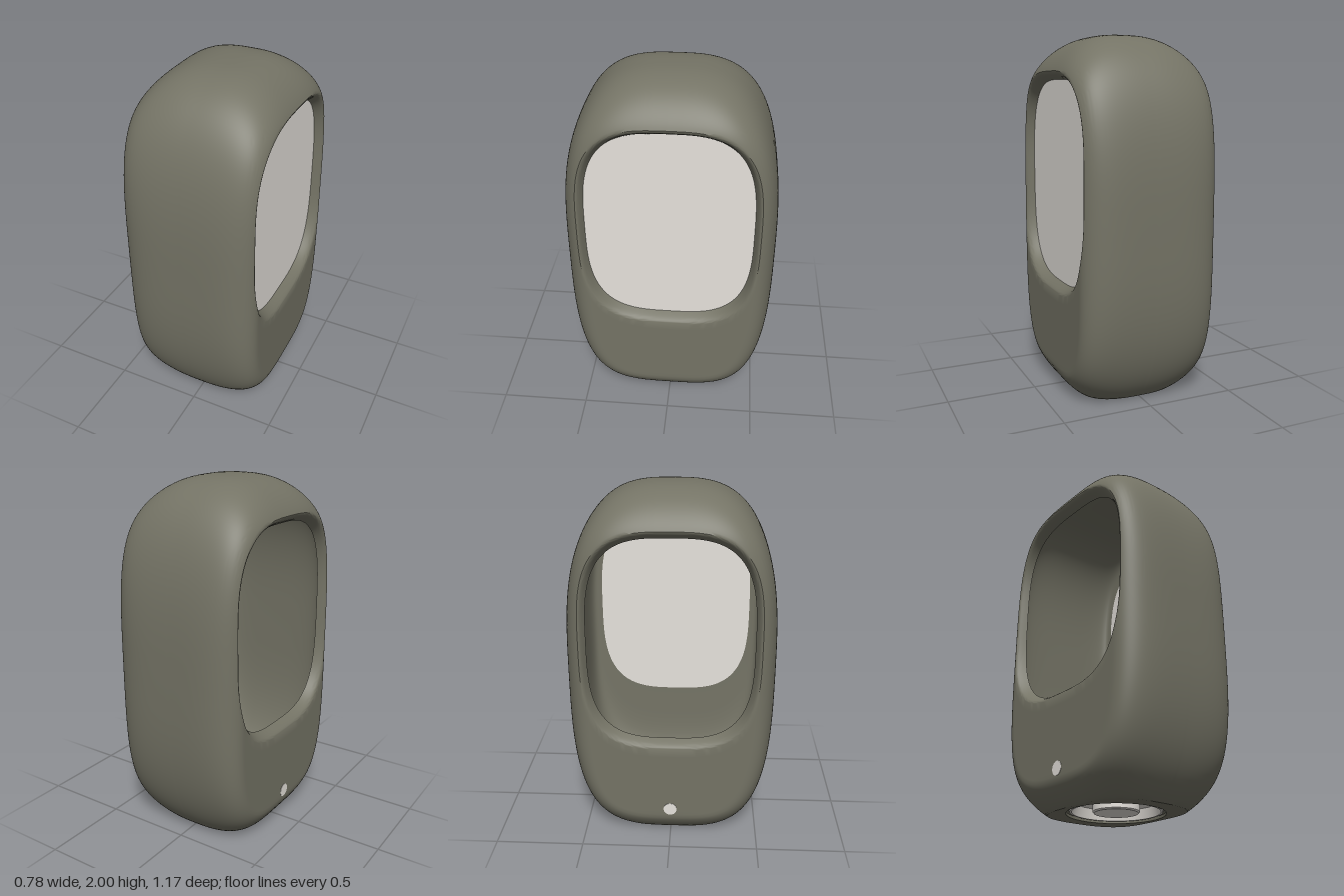
import * as THREE from 'three';
import { toCreasedNormals } from 'three/addons/utils/BufferGeometryUtils.js';

const HALF = 0.39;      // half width of the body
const MID = 0.957;      // height of the body outline's centre
const TALL = 1.043;     // half height of the body outline, cut flat at y = 0
const POWER = 2.95;     // squareness of the body outline
const WALL = 0.33;      // x where the rounded rim meets the opening
const SEG = 128;

// Point [z, y] on a rounded-square outline
function outline(angle, cy, hz, hy, power) {
  const c = Math.cos(angle), s = Math.sin(angle);
  const p = (v) => Math.sign(v) * Math.abs(v) ** (2 / power);
  return [hz * p(c), cy + hy * p(s)];
}
const bodyEdge = (a) => outline(a, MID, 0.585, TALL, POWER);
const rimEdge = (a) => outline(a, 1.187, 0.49, 0.615, 3.2);
const panelEdge = (a) => outline(a, 1.187, 0.455, 0.57, 3.2);
const cavityEdge = (a) => outline(a, 1.01, 0.53, 0.92, 3.2);

// Half width of the pillowed body at a point of its side outline
function surfaceX(z, y) {
  let lo = 0, hi = HALF;
  for (let i = 0; i < 40; i++) {
    const x = (lo + hi) / 2, s = x / HALF;
    const hy = TALL - 0.21 * (1 - (1 - s ** 2.7) ** 0.8);
    const hz = 0.585 - 0.14 * (1 - Math.sqrt(1 - s ** 4));
    const n = POWER + s ** 4; // squarer towards the flat sides
    const f = (Math.abs(y - MID) / hy) ** n + (Math.abs(z) / hz) ** n;
    if (f < 1) lo = x; else hi = x;
  }
  return lo;
}

// Triangles between closed rings of points, mirrored when side is -1
function skin(rings, side) {
  const pos = [], idx = [];
  for (const ring of rings) for (const [x, y, z] of ring) pos.push(x * side, Math.max(y, 0), z);
  const add = (a, b, c) => {
    // the flat underside is a separate plate
    if ([a, b, c].every((i) => pos[i * 3 + 1] === 0)) return;
    if (side > 0) idx.push(a, b, c); else idx.push(a, c, b);
  };
  for (let i = 0; i < rings.length - 1; i++) {
    for (let j = 0; j < SEG; j++) {
      const k = (j + 1) % SEG, o = i * SEG, n = o + SEG;
      add(o + j, n + j, o + k);
      add(o + k, n + j, n + k);
    }
  }
  const g = new THREE.BufferGeometry();
  g.setAttribute('position', new THREE.Float32BufferAttribute(pos, 3));
  g.setIndex(idx);
  return toCreasedNormals(g, 0.6);
}

const makeRing = (fn) => Array.from({ length: SEG }, (_, j) => fn((j / SEG) * Math.PI * 2));
const mix = (p, q, t) => [p[0] + (q[0] - p[0]) * t, p[1] + (q[1] - p[1]) * t];

export function createModel() {
  const model = new THREE.Group();
  model.name = 'device';
  const shell = new THREE.MeshStandardMaterial({ color: 0x747365, side: THREE.DoubleSide });
  shell.name = 'olive grey shell';
  const pale = new THREE.MeshStandardMaterial({ color: 0xe6e2dc, side: THREE.DoubleSide });
  pale.name = 'pale grey';
  const add = (name, geometry, material) => {
    const mesh = new THREE.Mesh(geometry, material);
    mesh.name = name;
    model.add(mesh);
    return mesh;
  };

  // Outer shell from the middle seam to the opening's rim, then the rounded rim
  const shellRings = [];
  for (let i = 0; i <= 40; i++) {
    const t = (i / 40) ** 3;
    shellRings.push(makeRing((a) => {
      const [z, y] = mix(bodyEdge(a), rimEdge(a), t);
      return [i === 0 ? 0 : surfaceX(z, y), y, z];
    }));
  }
  for (let i = 1; i <= 8; i++) {
    const k = i / 8;
    shellRings.push(makeRing((a) => {
      const rim = rimEdge(a), x = surfaceX(...rim);
      const [z, y] = mix(rim, panelEdge(a), k);
      return [x + (WALL - x) * (1 - Math.cos(k * Math.PI / 2)), y, z];
    }));
  }
  add('leftShell', skin(shellRings, 1), shell);
  add('rightShell', skin(shellRings, -1), shell);

  // Hollow inside, open on the right and closed by a flat pale panel on the left
  const cavityRings = [];
  for (let i = 0; i <= 24; i++) {
    const a = (i / 24) * Math.PI, c = Math.cos(a);
    const x = WALL * Math.sign(c) * Math.sqrt(Math.abs(c));
    const bulge = Math.sqrt(Math.abs(Math.sin(a)));
    cavityRings.push(makeRing((b) => {
      const [z, y] = mix(panelEdge(b), cavityEdge(b), bulge);
      return [x, y, z];
    }));
  }
  add('innerShell', skin(cavityRings, -1), shell);
  const panelShape = new THREE.Shape(makeRing((a) => {
    const [z, y] = panelEdge(a);
    return new THREE.Vector2(-z, y);
  }));
  const panel = add('sidePanel', new THREE.ShapeGeometry(panelShape).rotateY(Math.PI / 2), pale);
  panel.position.x = WALL;

  // Flat underside with a round opening
  const zEnd = 0.585 * (1 - (MID / TALL) ** POWER) ** (1 / POWER);
  const edge = [];
  for (let i = 0; i < 96; i++) {
    const a = (i / 96) * Math.PI * 2, z = zEnd * Math.cos(a);
    edge.push(new THREE.Vector2(Math.sign(Math.sin(a)) * surfaceX(z, 0), z));
  }
  const base = new THREE.Shape(edge);
  base.holes.push(new THREE.Path().absarc(0, 0, 0.265, 0, Math.PI * 2, true));
  add('underside', new THREE.ShapeGeometry(base, 48).rotateX(Math.PI / 2), shell);

  // Stepped collar, round cup and centre knob under the body
  const lathe = (points) => toCreasedNormals(
    new THREE.LatheGeometry(points.map(([r, y]) => new THREE.Vector2(r, y)), 64), 0.5);
  add('cupCollar', lathe([[0.265, 0], [0.265, 0.015], [0.245, 0.015]]), shell);
  add('cup', lathe([[0.248, 0.015], [0.245, 0.008], [0.235, 0.008], [0.225, 0.065], [0, 0.065]]), pale);
  add('centreKnob', lathe([[0.125, 0.065], [0.125, 0.01], [0.118, 0.003], [0, 0.003]]), pale);

  // Small round dot low on the right side
  const dot = add('sideDot', new THREE.CylinderGeometry(0.038, 0.038, 0.004, 32).rotateZ(Math.PI / 2), pale);
  dot.position.set(-HALF, 0.18, 0);

  return model;
}
